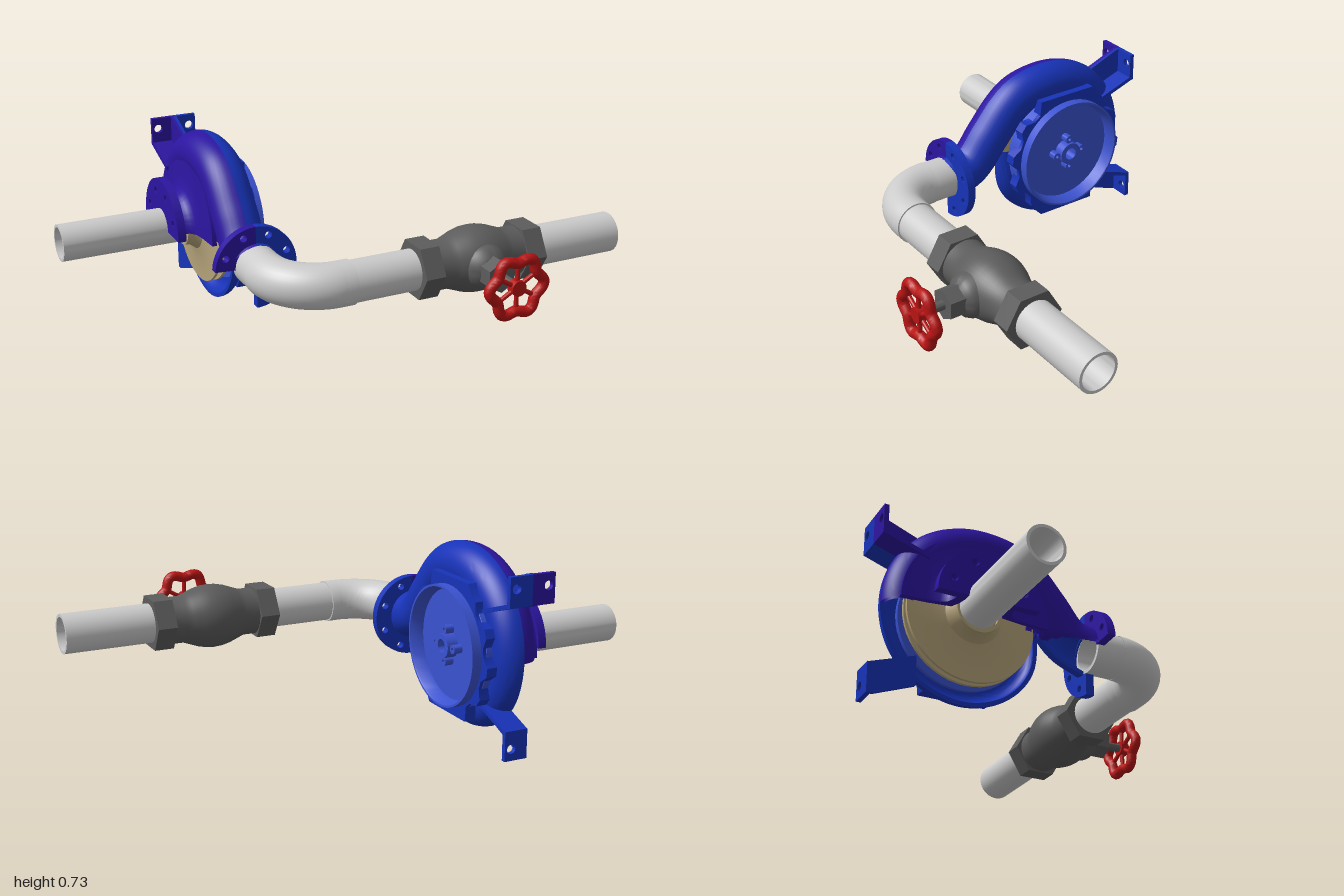
import * as THREE from 'three';
import { mergeGeometries, toCreasedNormals } from 'three/addons/utils/BufferGeometryUtils.js';

const PI = Math.PI;
const X0 = -0.39, YC = 0.35, ZC = -0.39; // split plane and pump axis
const YP = 0.345, ZP = 0.425; // outlet pipe axis

const mat = (color) => new THREE.MeshStandardMaterial({ color, side: THREE.DoubleSide });
const M = {
  pipe: mat(0xcccccc), blue: mat(0x1733b8), purple: mat(0x2c15a0), plate: mat(0x3a52d0),
  tan: mat(0xb8a67c), valve: mat(0x5c5c5c), red: mat(0xb81414),
};

function add(parent, name, geometry, material, x = 0, y = 0, z = 0) {
  const mesh = new THREE.Mesh(toCreasedNormals(geometry, 0.6), material);
  mesh.name = name;
  mesh.position.set(x, y, z);
  parent.add(mesh);
  return mesh;
}

// Lathe with points [radius, position along axis]; partial turns get flat end caps
function turned(points, axis, start = 0, len = 2 * PI) {
  const v = points.map(([r, h]) => new THREE.Vector2(r, h));
  const parts = [new THREE.LatheGeometry(v, 48, start, len)];
  if (len < 2 * PI) {
    for (const a of [start, start + len]) parts.push(new THREE.ShapeGeometry(new THREE.Shape(v)).rotateY(a - PI / 2));
  }
  const g = mergeGeometries(parts);
  return axis === 'x' ? g.rotateZ(-PI / 2) : g.rotateX(PI / 2);
}
const tube = (R, r, a, b, axis) => turned([[r, a], [R, a], [R, b], [r, b], [r, a]], axis);

// Flat outline of [z, y] points extruded along x
function extrudeX(points, x, depth, hole) {
  const s = new THREE.Shape(points.map(([z, y]) => new THREE.Vector2(-z, y)));
  if (hole) s.holes.push(new THREE.Path().absarc(0, 0, hole, 0, 2 * PI, true));
  return new THREE.ExtrudeGeometry(s, { depth, bevelEnabled: false, curveSegments: 32 })
    .rotateY(PI / 2).translate(x, 0, 0);
}

// Sector of a drilled flange, facing z
function flange(R, r, start, end, depth, bolts) {
  const s = new THREE.Shape();
  s.absarc(0, 0, R, start, end, false);
  s.absarc(0, 0, r, end, start, true);
  s.closePath();
  for (let i = 0; i < bolts; i++) {
    const a = start + (end - start) * (i + 0.5) / bolts, c = (R + r) / 2 + 0.012;
    s.holes.push(new THREE.Path().absarc(c * Math.cos(a), c * Math.sin(a), 0.014, 0, 2 * PI, true));
  }
  return new THREE.ExtrudeGeometry(s, { depth, bevelEnabled: false, curveSegments: 32 });
}

// Half of the spiral casing: shell sections swept along the growing spiral into the outlet
function voluteHalf(side, minY) {
  const ctrl = [[-10, 0.235, 0.058], [30, 0.245, 0.062], [60, 0.253, 0.067], [90, 0.257, 0.072], [120, 0.255, 0.076],
    [150, 0.254, 0.079], [180, 0.253, 0.082], [210, 0.258, 0.085], [240, 0.269, 0.088], [270, 0.285, 0.09], [300, 0.313, 0.09],
    [315, 0.322, 0.09]].map(([deg, R, a]) => {
    const t = deg * PI / 180;
    return new THREE.Vector3(ZC + R * Math.cos(t), YC - R * Math.sin(t), a);
  });
  ctrl.push(...[[-0.07, 0.475, 0.09], [0.02, 0.37, 0.09], [0.12, 0.336, 0.098]].map((p) => new THREE.Vector3(...p)));
  const curve = new THREE.CatmullRomCurve3(ctrl);
  const N = 110, K = 14, W = 2 * K + 2, pos = [], idx = [];
  for (let i = 0; i <= N; i++) {
    const t = i / N, p = curve.getPoint(t), d = curve.getTangent(t);
    const l = Math.hypot(d.x, d.y), nz = -d.y / l, ny = d.x / l;
    const sweep = PI * (0.58 + 0.42 * THREE.MathUtils.smoothstep(t, 0.65, 0.85));
    for (let j = 0; j < W; j++) {
      const outer = j <= K, f = sweep * (outer ? j : W - 1 - j) / K, r = outer ? p.z : p.z - 0.016;
      pos.push(X0 + side * r * Math.sin(f), Math.max(minY, p.y + ny * r * Math.cos(f)), p.x + nz * r * Math.cos(f));
    }
  }
  const tri = (...q) => { if (q.some((k) => pos[3 * k + 1] > minY + 1e-6)) idx.push(...q); };
  for (let i = 0; i < N; i++) for (let j = 0; j < W; j++) {
    const a = i * W + j, b = i * W + (j + 1) % W;
    tri(a, b, a + W);
    tri(b, b + W, a + W);
  }
  const g = new THREE.BufferGeometry();
  g.setAttribute('position', new THREE.Float32BufferAttribute(pos, 3));
  g.setIndex(idx);
  g.computeVertexNormals();
  return g;
}

// Mounting foot: drilled plate, ledge and web; sy = 1 upper, -1 lower
function foot(parent, side, sy, material) {
  const g = new THREE.Group();
  g.name = sy > 0 ? 'upperFoot' : 'lowerFoot';
  const flip = (pts) => pts.map(([z, y]) => [z, YP + sy * (y - YP)]);
  const w = 0.095, left = (d) => (side > 0 ? X0 : X0 - d);
  add(g, 'footLedge', extrudeX(flip([[-0.58, 0.515], [-0.755, 0.575], [-0.755, 0.592], [-0.58, 0.532]]), left(w), w), material);
  add(g, 'footWeb', extrudeX(flip([[-0.58, 0.515], [-0.755, 0.575], [-0.755, 0.69], [-0.735, 0.69], [-0.58, 0.63]]), left(0.012), 0.012), material);
  const y = YP + sy * 0.2875, s = new THREE.Shape();
  s.moveTo(-w / 2, -0.0575).lineTo(w / 2, -0.0575).lineTo(w / 2, 0.0575).lineTo(-w / 2, 0.0575);
  s.holes.push(new THREE.Path().absarc(side * 0.02, sy * 0.012, 0.018, 0, 2 * PI, true));
  add(g, 'footPlate', new THREE.ExtrudeGeometry(s, { depth: 0.018, bevelEnabled: false }), material, X0 + side * w / 2, y, -0.76);
  parent.add(g);
}

function buildPump() {
  const g = new THREE.Group();
  g.name = 'pump';
  // Casing halves; the suction half is cut away below the axis
  add(g, 'rearCasing', voluteHalf(1, -1), M.blue);
  add(g, 'suctionCasing', voluteHalf(-1, YC), M.purple);
  add(g, 'suctionCover', turned([[0.29, -0.475], [0.2, -0.48], [0.15, -0.487], [0.125, -0.505], [0.115, -0.53], [0.112, -0.56],
    [0.075, -0.56], [0.085, -0.51], [0.1, -0.475], [0.19, -0.462], [0.29, -0.457], [0.29, -0.475]], 'x', PI, PI), M.purple, 0, YC, ZC);
  add(g, 'inletFlange', flange(0.197, 0.075, 0, PI, 0.033, 4).rotateY(PI / 2), M.purple, -0.58, YC, ZC);
  add(g, 'outletFlangeRear', flange(0.165, 0.08, -PI / 2, PI / 2, 0.033, 4), M.blue, X0, 0.335, 0.102);
  add(g, 'outletFlangeFront', flange(0.165, 0.08, PI / 2, PI - 0.06, 0.033, 2), M.purple, X0, 0.335, 0.102);
  for (const [side, sy] of [[1, 1], [1, -1], [-1, 1]]) foot(g, side, sy, side > 0 ? M.blue : M.purple);

  // Back plate: recessed cup, hub, lugged rim
  add(g, 'backPlate', turned([[0.026, -0.35], [0.026, -0.24], [0.048, -0.24], [0.048, -0.285], [0.215, -0.285], [0.225, -0.236],
    [0.228, -0.232], [0.236, -0.232], [0.236, -0.275], [0.25, -0.285], [0.25, -0.345], [0.026, -0.35]], 'x'), M.plate, 0, YC, ZC);
  const rim = [];
  for (let i = 0; i < 48; i++) {
    const a = (i + 0.5) * PI / 24, s = Math.abs(Math.sin(a));
    const r = s > 0.87 ? 0.267 / s : Math.floor(i / 2) % 2 ? 0.248 : 0.277;
    rim.push([r * Math.cos(a), r * Math.sin(a)]);
  }
  add(g, 'luggedRim', extrudeX(rim, -0.315, 0.045, 0.22), M.blue, 0, YC, ZC);
  for (let i = 0; i < 4; i++) {
    const a = i * PI / 2;
    add(g, 'hubBoss', tube(0.017, 0.007, -0.29, -0.25, 'x'), M.plate, 0, YC + 0.063 * Math.sin(a), ZC + 0.063 * Math.cos(a));
  }

  // Impeller: two shrouds joined by raked vanes
  const imp = new THREE.Group();
  imp.name = 'impeller';
  imp.position.set(0, YC, ZC);
  add(imp, 'rearShroud', tube(0.25, 0.026, -0.398, -0.386, 'x'), M.tan);
  add(imp, 'impellerHub', tube(0.045, 0.026, -0.44, -0.34, 'x'), M.tan);
  add(imp, 'frontShroud', turned([[0.25, -0.43], [0.16, -0.434], [0.11, -0.448], [0.09, -0.475], [0.088, -0.5],
    [0.077, -0.5], [0.08, -0.47], [0.1, -0.44], [0.16, -0.422], [0.25, -0.418], [0.25, -0.43]], 'x'), M.tan);
  for (let i = 0; i < 7; i++) {
    const vane = add(imp, 'vane', new THREE.BoxGeometry(0.026, 0.15, 0.012).rotateX(0.6).translate(-0.408, 0.165, 0), M.tan);
    vane.rotation.x = i * 2 * PI / 7;
  }
  g.add(imp);
  return g;
}

function buildValve() {
  const g = new THREE.Group();
  g.name = 'gateValve';
  g.position.set(0.377, YP, ZP);
  add(g, 'valveBody', turned([[0.08, -0.2], [0.096, -0.19], [0.096, -0.13], [0.105, -0.105], [0.12, -0.065], [0.128, -0.03], [0.13, 0],
    [0.128, 0.03], [0.12, 0.065], [0.105, 0.105], [0.096, 0.13], [0.096, 0.19], [0.08, 0.2]], 'x'), M.valve);
  for (const s of [-1, 1]) {
    add(g, 'endNut', new THREE.CylinderGeometry(0.117, 0.117, 0.08, 6).rotateZ(PI / 2), M.valve, s * 0.222);
  }
  add(g, 'bonnet', turned([[0.09, 0.08], [0.085, 0.115], [0.075, 0.135], [0.055, 0.15], [0, 0.15]], 'z'), M.valve);
  add(g, 'bonnetNut', new THREE.CylinderGeometry(0.062, 0.062, 0.065, 6).rotateX(PI / 2), M.valve, 0, 0, 0.178);
  add(g, 'stem', new THREE.CylinderGeometry(0.018, 0.018, 0.14, 20).rotateX(PI / 2), M.valve, 0, 0, 0.255);

  // Scalloped handwheel
  const wheel = new THREE.Group();
  wheel.name = 'handwheel';
  wheel.position.z = 0.308;
  const pts = Array.from({ length: 48 }, (_, i) => {
    const a = i * PI / 24, r = 0.105 + 0.011 * Math.cos(6 * a);
    return new THREE.Vector3(r * Math.cos(a), r * Math.sin(a), 0);
  });
  add(wheel, 'wheelRim', new THREE.TubeGeometry(new THREE.CatmullRomCurve3(pts, true), 120, 0.021, 12, true), M.red);
  add(wheel, 'wheelHub', new THREE.CylinderGeometry(0.03, 0.03, 0.036, 24).rotateX(PI / 2), M.red);
  for (let i = 0; i < 6; i++) {
    const spoke = add(wheel, 'spoke', new THREE.CylinderGeometry(0.009, 0.009, 0.08, 10).translate(0, 0.058, 0), M.red);
    spoke.rotation.z = i * PI / 3;
  }
  g.add(wheel);
  return g;
}

export function createModel() {
  const model = new THREE.Group();
  model.name = 'pumpAssembly';
  model.add(buildPump(), buildValve());

  // Pipework
  add(model, 'inletPipe', tube(0.074, 0.063, -1, -0.5, 'x'), M.pipe, 0, YC, -0.395);
  add(model, 'outletStub', tube(0.084, 0.07, 0.11, 0.226, 'z'), M.pipe, X0, YP, 0);
  add(model, 'elbow', new THREE.TorusGeometry(0.2, 0.086, 32, 24, PI / 2).rotateZ(PI / 2).rotateX(PI / 2), M.pipe, -0.19, YP, 0.225);
  add(model, 'elbowCollar', tube(0.086, 0.07, -0.19, -0.145, 'x'), M.pipe, 0, YP, ZP);
  add(model, 'outletPipe', tube(0.08, 0.068, -0.16, 1, 'x'), M.pipe, 0, YP, ZP);
  return model;
}
